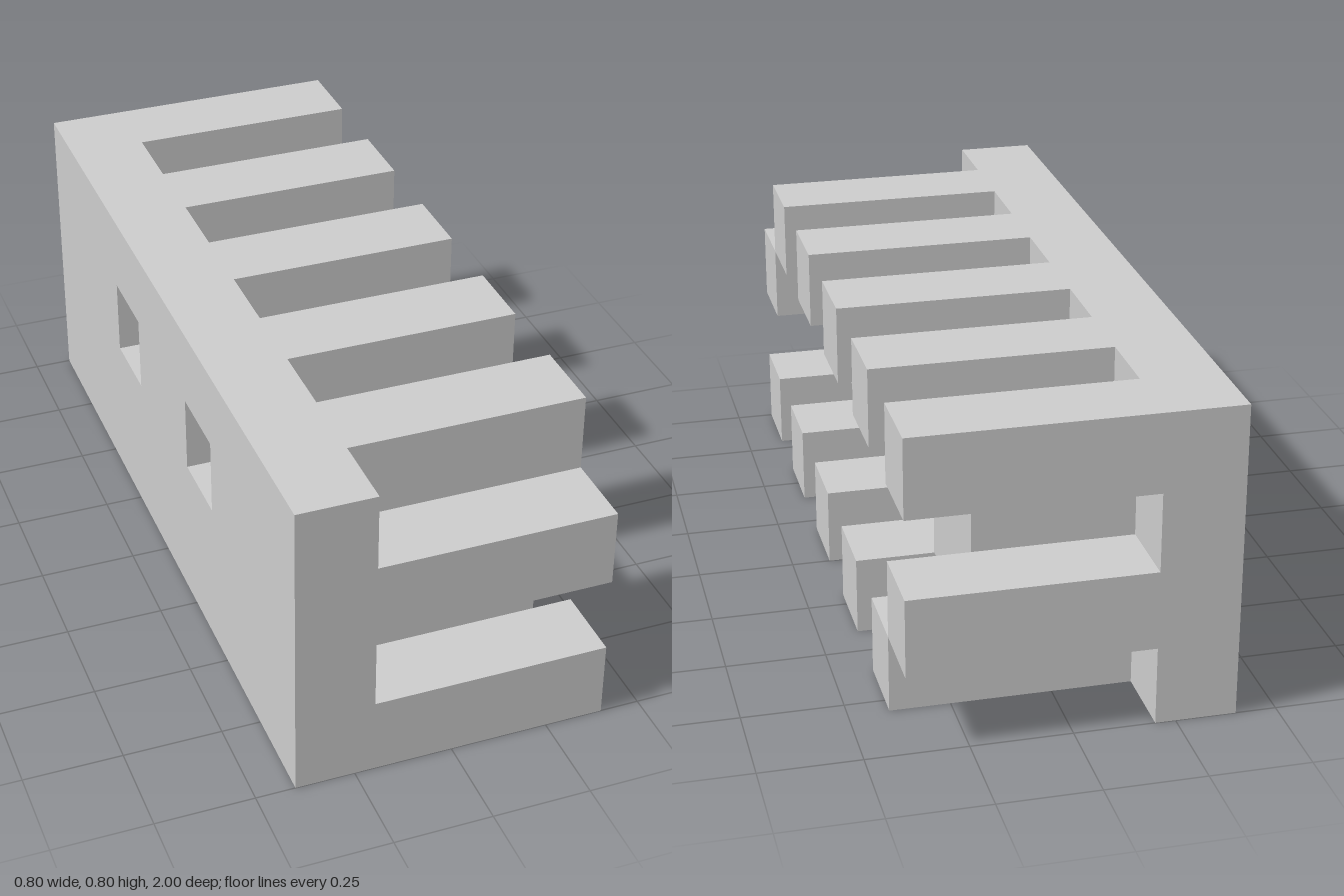
import * as THREE from 'three';

const U = 0.2; // the whole piece sits on a grid of this cell size
const material = new THREE.MeshStandardMaterial({ color: 0xcccccc, flatShading: true });

// Box growing out of the plate in +x; arguments are counted in cells,
// with y from the bottom and z from the back end.
function addBar(group, name, length, y, height, z, depth) {
  const mesh = new THREE.Mesh(new THREE.BoxGeometry(length * U, height * U, depth * U), material);
  mesh.position.set(-0.2 + length * U / 2, (y + height / 2) * U, -1 + (z + depth / 2) * U);
  mesh.name = name;
  group.add(mesh);
}

// Upright plate with two square windows
function createPlate() {
  const rect = (Type, u0, v0, u1, v1) => new Type([
    new THREE.Vector2(u0, v0), new THREE.Vector2(u1, v0),
    new THREE.Vector2(u1, v1), new THREE.Vector2(u0, v1),
  ]);
  const shape = rect(THREE.Shape, -1, 0, 1, 0.8);
  for (const u of [-0.4, 0.2]) shape.holes.push(rect(THREE.Path, u, 0.4, u + U, 0.6));
  const geometry = new THREE.ExtrudeGeometry(shape, { depth: U, bevelEnabled: false });
  geometry.rotateY(Math.PI / 2).translate(-0.4, 0, 0);
  const plate = new THREE.Mesh(geometry, material);
  plate.name = 'backPlate';
  return plate;
}

export function createModel() {
  const model = new THREE.Group();
  model.name = 'interlockingPuzzlePiece';
  model.add(createPlate());

  // Two combs of teeth, staggered by one cell
  const upper = new THREE.Group();
  const lower = new THREE.Group();
  upper.name = 'upperComb';
  lower.name = 'lowerComb';
  for (let z = 0; z < 10; z += 2) {
    addBar(upper, 'upperTooth', 3, 3, 1, z, 1);
    addBar(lower, 'lowerTooth', 3, 0, 1, z + 1, 1);
  }
  model.add(upper, lower);

  // Shorter core blocks between the combs, leaving the windows free
  for (const z of [1, 4, 7]) addBar(model, 'coreBlock', 2, 1, 2, z, 2);

  // One extra tooth at each end
  addBar(model, 'backEndTooth', 3, 1, 1, 0, 1);
  addBar(model, 'frontEndTooth', 3, 2, 1, 9, 1);

  return model;
}
